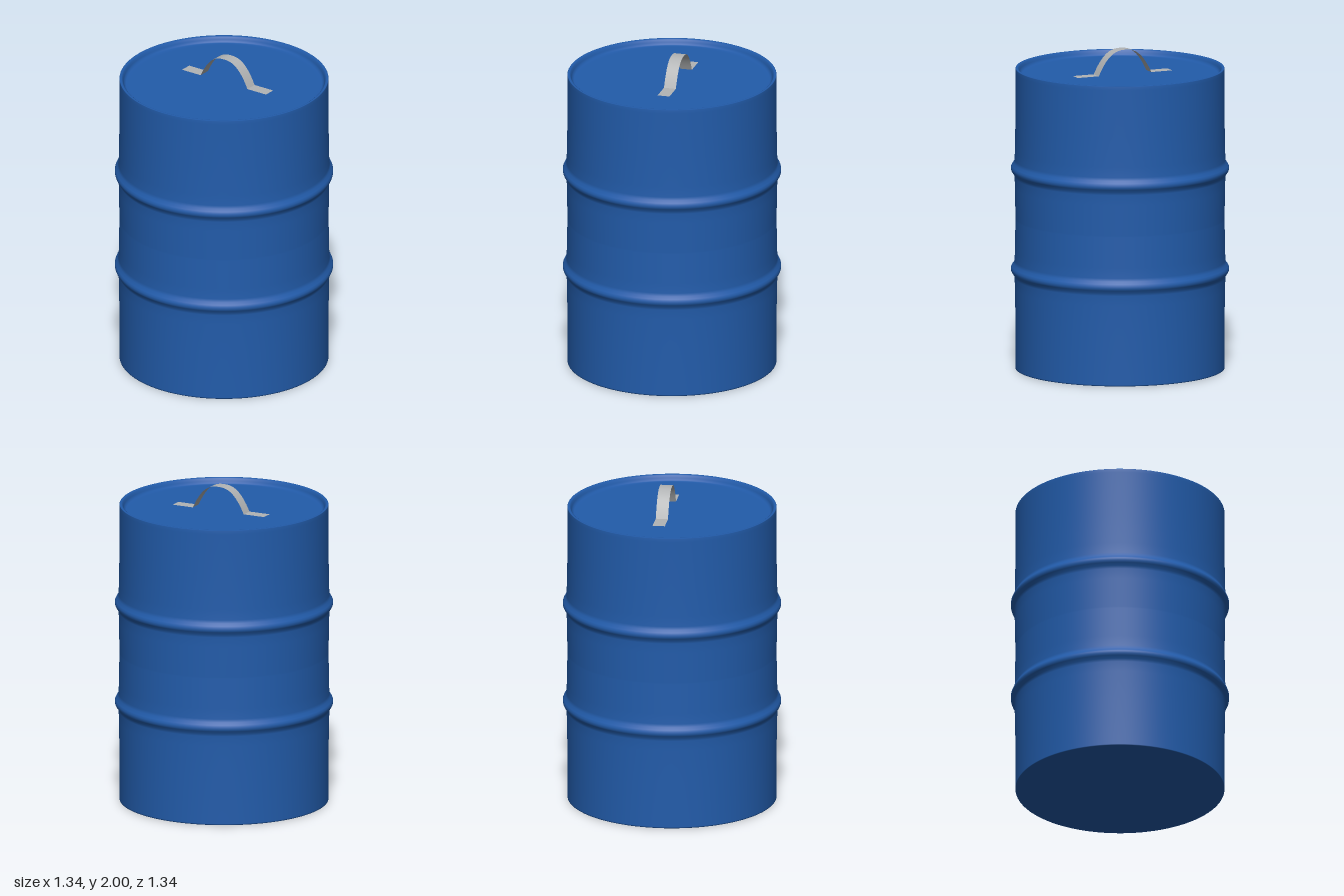
import * as THREE from 'three';

const WALL = 0.643, LID_Y = 1.838;

export function createModel() {
  const group = new THREE.Group();
  const blue = new THREE.MeshStandardMaterial({ color: 0x225cab });
  blue.name = 'drumBlue';
  const grey = new THREE.MeshStandardMaterial({ color: 0xb2b4b5, side: THREE.DoubleSide });
  grey.name = 'handleGrey';

  const add = (name, geometry, material) => {
    const mesh = new THREE.Mesh(geometry, material);
    mesh.name = name;
    group.add(mesh);
    return mesh;
  };

  // Rolled rib with the wall swelling gently towards it: offsets from wall radius and centre height
  const rib = (y) => [
    [0, -0.31], [0.004, -0.12], [0.005, -0.055], [0.01, -0.036], [0.022, -0.02], [0.028, -0.007],
    [0.028, 0.007], [0.022, 0.02], [0.01, 0.036], [0.005, 0.055], [0.004, 0.12], [0, 0.31],
  ].map(([dr, dy]) => [WALL + dr, y + dy]);

  // Drum body: closed base, ribbed wall, rolled top rim and sunken lid
  const profile = [
    [0, 0], [WALL, 0], [WALL, 0.007], [WALL, 0.03],
    ...rib(0.62), ...rib(1.25),
    [WALL, 1.85], [WALL, 1.872], [0.641, 1.875], [0.63, 1.875],
    [0.623, 1.87], [0.618, 1.855], [0.612, LID_Y + 0.004], [0.602, LID_Y], [0.58, LID_Y], [0, LID_Y],
  ].map(([r, y]) => new THREE.Vector2(r, y));
  add('drumBody', new THREE.LatheGeometry(profile, 96), blue);

  // Handle: a bent flat strip, arched in the middle with a foot at each end
  const width = 0.076, footY = 1.847, archR = 0.177, rise = 2 - footY;
  const arch = new THREE.PlaneGeometry(2, width, 32, 1).rotateX(-Math.PI / 2);
  const p = arch.attributes.position;
  for (let i = 0; i < p.count; i++) {
    const t = p.getX(i);
    p.setXYZ(i, t * archR, footY + rise * (1 - Math.abs(t) ** 2.5), p.getZ(i) - width / 2);
  }
  arch.computeVertexNormals();
  add('handleArch', arch, grey);

  const footLength = 0.318 - archR;
  for (const [name, side] of [['leftHandleFoot', 1], ['rightHandleFoot', -1]]) {
    const foot = add(name, new THREE.PlaneGeometry(footLength, width).rotateX(-Math.PI / 2), grey);
    foot.position.set(side * (archR + footLength / 2), footY, -width / 2);
  }
  return group;
}
